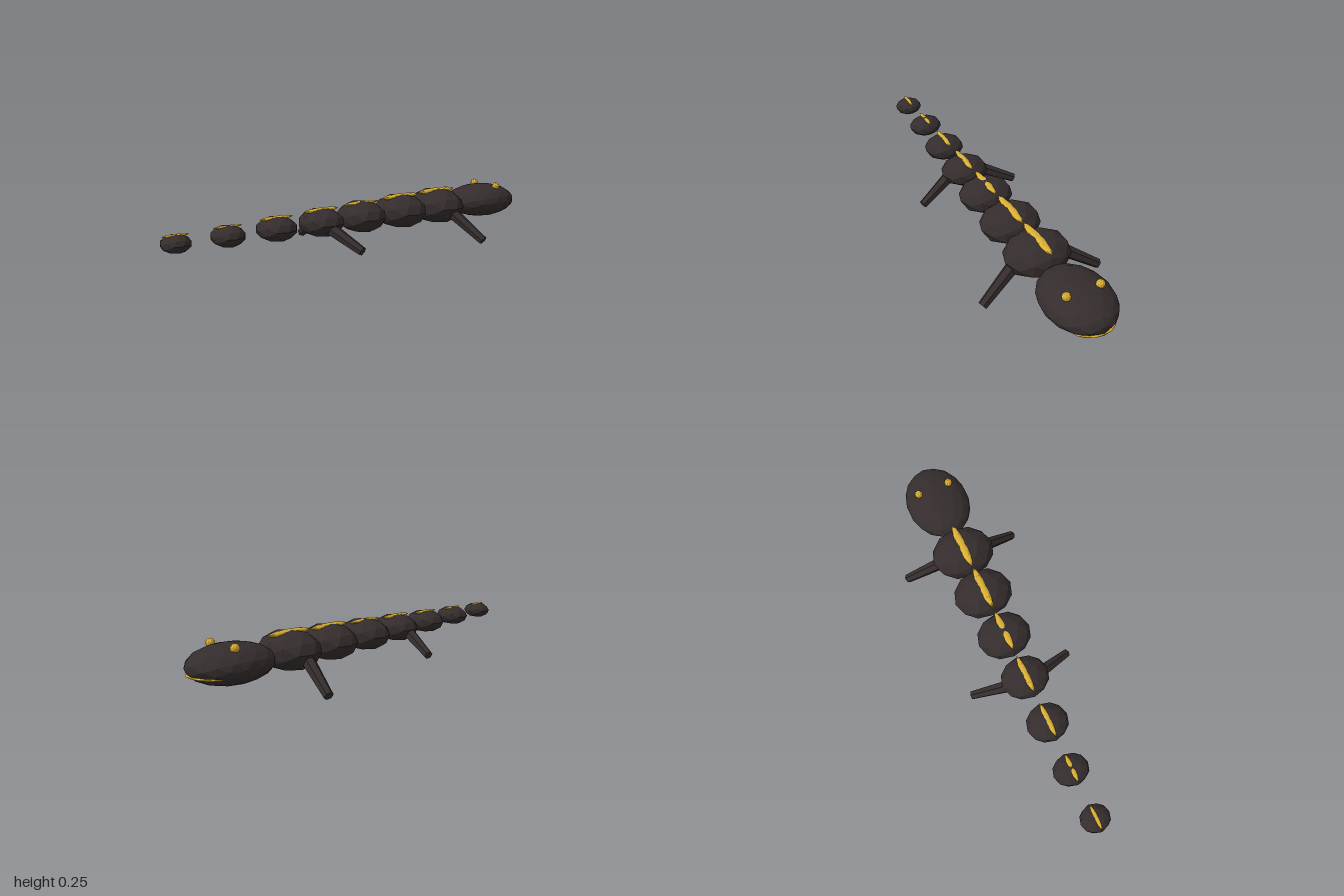
import * as THREE from 'three';

const skin = new THREE.MeshStandardMaterial({ color: 0x352d2d });
skin.name = 'dark skin';
const gold = new THREE.MeshStandardMaterial({ color: 0xd9ae33 });
gold.name = 'gold marking';

const MID = 0.16; // height of the body axis

// Faceted ellipsoid
function blob(name, material, [x, y, z], [rx, ry, rz], detail = 1) {
  const geometry = new THREE.IcosahedronGeometry(1, detail);
  geometry.scale(rx, ry, rz);
  geometry.computeVertexNormals(); // unindexed, so the facets stay flat
  const mesh = new THREE.Mesh(geometry, material);
  mesh.name = name;
  mesh.position.set(x, y, z);
  return mesh;
}

// Tapered six-sided leg between two points
function leg(name, from, to, r0, r1) {
  const a = new THREE.Vector3(...from);
  const b = new THREE.Vector3(...to);
  const dir = b.clone().sub(a);
  const geometry = new THREE.CylinderGeometry(r1, r0, dir.length(), 6).toNonIndexed();
  geometry.computeVertexNormals();
  const mesh = new THREE.Mesh(geometry, skin);
  mesh.name = name;
  mesh.position.copy(a).add(b).multiplyScalar(0.5);
  mesh.quaternion.setFromUnitVectors(new THREE.Vector3(0, 1, 0), dir.normalize());
  return mesh;
}

export function createModel() {
  const model = new THREE.Group();
  model.name = 'salamander';

  // Head points to -z
  model.add(blob('head', skin, [0, 0.157, -0.8], [0.156, 0.085, 0.2], 2));
  model.add(blob('mouth', gold, [0, 0.128, -0.9], [0.11, 0.014, 0.096], 2));

  // Body and tail: z, radius x, radius y, radius z, stripe thickness ratio
  const segments = [
    [-0.485, 0.156, 0.09, 0.132, 0.17],
    [-0.245, 0.145, 0.084, 0.124, 0.17],
    [-0.005, 0.131, 0.076, 0.115, 0.13],
    [0.225, 0.116, 0.067, 0.104, 0.17],
    [0.462, 0.1, 0.057, 0.093, 0.17],
    [0.7, 0.085, 0.048, 0.075, 0.13],
    [0.935, 0.07, 0.04, 0.065, 0.17],
  ];
  segments.forEach(([z, rx, ry, rz, t], i) => {
    const part = i < 4 ? 'bodySegment' : 'tailSegment';
    model.add(blob(part + (i + 1), skin, [0, MID, z], [rx, ry, rz]));
    model.add(blob('backStripe' + (i + 1), gold,
      [0, MID + 0.85 * ry, z], [0.14 * rx, t * ry, 0.92 * rz]));
  });

  // Paired eyes and legs
  for (const [side, s] of [['left', 1], ['right', -1]]) {
    model.add(blob(side + 'Eye', gold, [s * 0.08, 0.235, -0.838], [0.02, 0.02, 0.02]));
    model.add(leg(side + 'FrontLeg', [s * 0.1, 0.15, -0.485], [s * 0.292, 0.019, -0.538], 0.032, 0.022));
    model.add(leg(side + 'HindLeg', [s * 0.08, 0.145, 0.228], [s * 0.25, 0.062, 0.173], 0.031, 0.021));
  }
  return model;
}
